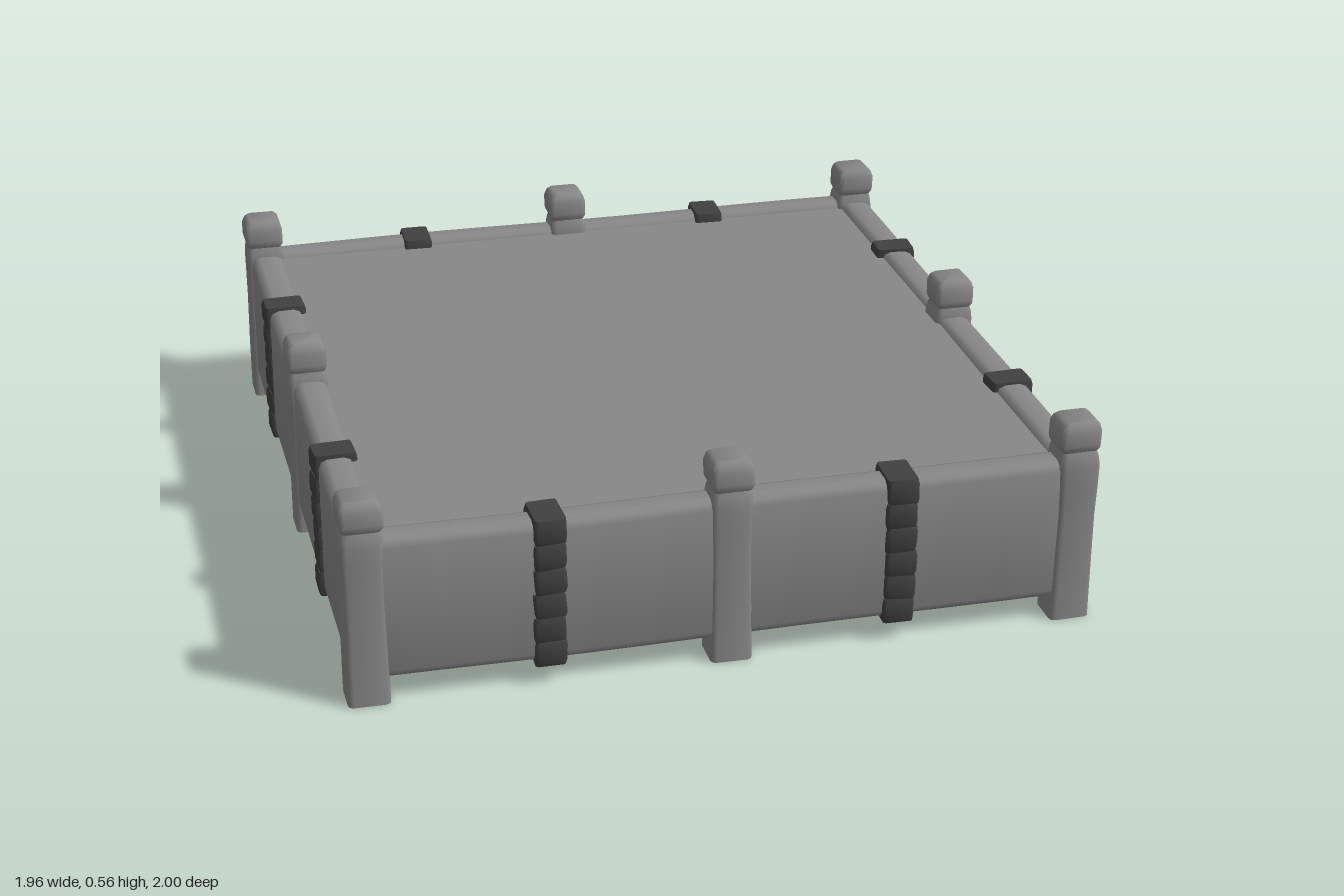
import * as THREE from 'three';
import { toCreasedNormals } from 'three/addons/utils/BufferGeometryUtils.js';

const wood = new THREE.MeshStandardMaterial({ color: 0x878787 });
const rope = new THREE.MeshStandardMaterial({ color: 0x404040 });
const sandMat = new THREE.MeshStandardMaterial({ color: 0x878787, side: THREE.DoubleSide });

// Repeatable uneven offset in -1..1
const uneven = (a, b, seed) => Math.sin(a * 12.9 + b * 7.3 + seed * 4.7);

// Round-cornered block lofted along y; stations are [y, widthScale, depthScale]
function hewn(w, d, radius, stations, wobble, seed) {
  const pos = [], idx = [], ring = [];
  for (let k = 0; k < 4; k++) {
    const sx = k === 0 || k === 3 ? 1 : -1, sz = k < 2 ? 1 : -1;
    for (let s = 0; s < 3; s++) {
      const a = (k + s / 2) * Math.PI / 2;
      ring.push([sx * (w / 2 - radius) + radius * Math.cos(a),
        sz * (d / 2 - radius) + radius * Math.sin(a), k]);
    }
  }
  const n = ring.length;
  stations.forEach(([y, sx, sz = sx], j) => ring.forEach(([px, pz, k]) => pos.push(
    px * sx + wobble * uneven(k, j, seed), y,
    pz * sz + wobble * uneven(j, k, seed + 3))));
  for (let j = 0; j < stations.length - 1; j++) {
    for (let i = 0; i < n; i++) {
      const a = j * n + i, b = j * n + (i + 1) % n;
      idx.push(a, a + n, b, b, a + n, b + n);
    }
  }
  const top = (stations.length - 1) * n;
  for (let i = 1; i < n - 1; i++) {
    idx.push(0, i, i + 1, top, top + i + 1, top + i);
  }
  const geo = new THREE.BufferGeometry();
  geo.setAttribute('position', new THREE.Float32BufferAttribute(pos, 3));
  geo.setIndex(idx);
  return toCreasedNormals(geo, 0.95);
}

function add(parent, name, geo, mat, x = 0, y = 0, z = 0) {
  const mesh = new THREE.Mesh(geo, mat);
  mesh.name = name;
  mesh.position.set(x, y, z);
  parent.add(mesh);
  return mesh;
}

// Upright post with a narrowing neck and a bevelled knob
function post(parent, name, x, z, seed) {
  const g = new THREE.Group();
  g.name = name;
  g.position.set(x, 0, z);
  add(g, 'shaft', hewn(0.108, 0.108, 0.014, [[0, 1], [0.15, 0.98], [0.3, 0.95], [0.38, 0.98],
    [0.44, 1], [0.465, 0.95], [0.485, 0.82]], 0.0015, seed), wood);
  add(g, 'knob', hewn(0.109, 0.109, 0.012, [[0.48, 0.88], [0.49, 0.98], [0.5, 1], [0.535, 1],
    [0.552, 0.9], [0.562, 0.72]], 0.001, seed + 1), wood);
  parent.add(g);
}

// Lashing: a stack of flat-ended turns wrapped round the wall
function lashing(parent, x, z, depth, seed) {
  const g = new THREE.Group();
  g.name = 'ropeLashing';
  g.position.set(x, 0.054, z);
  const turns = 6, h = 0.408 / turns;
  for (let i = 0; i < turns; i++) {
    const geo = hewn(0.082, depth, 0.008, [[0, 0.95, 0.93], [h * 0.2, 1], [h * 0.8, 1],
      [h, 0.95, 0.93]], 0.0015, seed + i);
    const turn = add(g, 'ropeTurn', geo, rope, 0, i * h, 0);
    turn.rotation.y = 0.05 * uneven(i, 1, seed);
    // Middle turns lean a little
    if (i > 0 && i < turns - 1) turn.rotation.z = 0.06 * uneven(i, 2, seed);
  }
  parent.add(g);
}

// One side of the frame, built facing +z and then turned
function side(root, name, angle, dist, length, mid, bands, bandDepth, seed) {
  const g = new THREE.Group();
  g.name = name;
  g.rotation.y = angle;
  const steps = 10, stations = [];
  for (let i = 0; i <= steps; i++) stations.push([(i / steps - 0.5) * length, 1]);
  const board = hewn(0.39, 0.092, 0.024, stations, 0.002, seed).rotateZ(-Math.PI / 2);
  add(g, 'wallBoard', board, wood, 0, 0.258, dist);
  post(g, 'middlePost', mid, dist + 0.003, seed + 2);
  bands.forEach((x, i) => lashing(g, x, dist, bandDepth, seed + 5 * i));
  root.add(g);
}

export function createModel() {
  const root = new THREE.Group();
  root.name = 'sandbox';

  side(root, 'frontSide', 0, 0.935, 1.84, 0.003, [-0.463, 0.448], 0.124, 1);
  side(root, 'backSide', Math.PI, 0.938, 1.84, -0.003, [0.463, -0.448], 0.12, 2);
  side(root, 'leftSide', Math.PI / 2, 0.918, 1.86, 0.018, [0.51, -0.467], 0.114, 3);
  side(root, 'rightSide', -Math.PI / 2, 0.92, 1.86, -0.018, [-0.51, 0.467], 0.116, 4);

  // Corner posts
  let seed = 10;
  for (const x of [-0.925, 0.921]) {
    for (const z of [-0.936, 0.936]) post(root, 'cornerPost', x, z, seed++);
  }

  // Flat sand surface, almost level with the top of the walls
  add(root, 'sand', new THREE.PlaneGeometry(1.82, 1.84).rotateX(-Math.PI / 2), sandMat, 0, 0.437, 0);
  return root;
}
